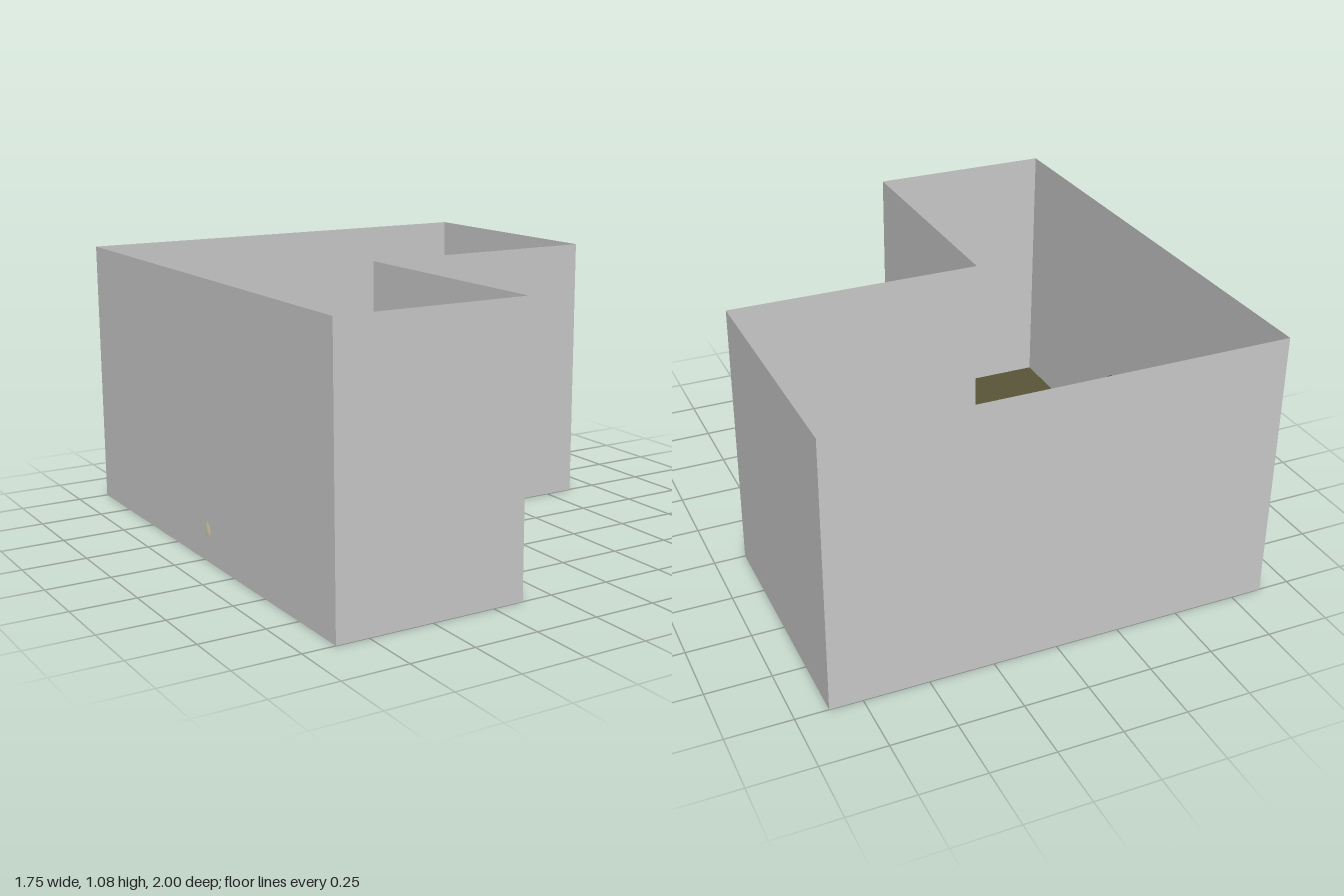
import * as THREE from 'three';

const mat = (color, flat = false, side = THREE.FrontSide) =>
  new THREE.MeshStandardMaterial({ color, flatShading: flat, side });

function add(parent, name, geometry, material, x = 0, y = 0, z = 0) {
  const mesh = new THREE.Mesh(geometry, material);
  mesh.name = name;
  mesh.position.set(x, y, z);
  parent.add(mesh);
  return mesh;
}

function group(parent, name, x = 0, y = 0, z = 0) {
  const g = new THREE.Group();
  g.name = name;
  g.position.set(x, y, z);
  parent.add(g);
  return g;
}

// L-shaped room: floor and thin open-topped walls
function buildRoom(parent) {
  const H = 1.08;
  const plan = [[-0.875, 1], [-0.125, 1], [-0.125, 0], [0.875, 0], [0.875, -1], [-0.875, -1]];
  const room = group(parent, 'room');

  const shape = new THREE.Shape(plan.map(([x, z]) => new THREE.Vector2(x, -z)));
  const floor = new THREE.ShapeGeometry(shape).rotateX(-Math.PI / 2);
  add(room, 'floor', floor, mat(0x5a5639, false, THREE.DoubleSide));

  const wallMat = mat(0xcccccc, false, THREE.DoubleSide);
  plan.forEach(([x0, z0], i) => {
    const [x1, z1] = plan[(i + 1) % plan.length];
    const wall = add(room, 'wall', new THREE.PlaneGeometry(Math.hypot(x1 - x0, z1 - z0), H),
      wallMat, (x0 + x1) / 2, H / 2, (z0 + z1) / 2);
    wall.rotation.y = -Math.atan2(z1 - z0, x1 - x0);
  });
}

// Square wooden table near the back wall
function buildTable(parent) {
  const table = group(parent, 'table', -0.41, 0, -0.72);
  const wood = mat(0x553a20);
  const S = 0.525, H = 0.28, T = 0.03, L = 0.04;
  add(table, 'tableTop', new THREE.BoxGeometry(S, T, S), wood, 0, H - T / 2, 0);
  const off = S / 2 - L;
  for (const sx of [-1, 1]) for (const sz of [-1, 1])
    add(table, 'tableLeg', new THREE.BoxGeometry(L, H - T, L), wood, sx * off, (H - T) / 2, sz * off);
}

// Pointed leaf lying along +z, slightly folded and drooping
function leafGeometry(length, width) {
  const g = new THREE.PlaneGeometry(1, 1, 4, 8).rotateX(-Math.PI / 2);
  const p = g.attributes.position;
  for (let i = 0; i < p.count; i++) {
    const u = p.getX(i) * 2, t = p.getZ(i) + 0.5;
    const half = (width / 2) * Math.pow(Math.sin(Math.PI * Math.pow(t, 0.8)), 0.8);
    p.setXYZ(i, u * (half || 0), Math.abs(u) * half * 0.3 - 0.3 * length * t * t, t * length);
  }
  g.computeVertexNormals();
  return g;
}

// Rounded pot with a small leafy plant
function buildPlant(parent) {
  const plant = group(parent, 'pottedPlant', -0.76, 0, 0.035);
  const profile = [[0, 0], [0.075, 0], [0.1, 0.04], [0.113, 0.08], [0.118, 0.12], [0.115, 0.16],
    [0.11, 0.2], [0.1, 0.2], [0.1, 0.165]].map(([r, y]) => new THREE.Vector2(r, y));
  add(plant, 'pot', new THREE.LatheGeometry(profile, 40), mat(0xe2d8b4, false, THREE.DoubleSide));
  add(plant, 'soil', new THREE.CircleGeometry(0.102, 32).rotateX(-Math.PI / 2), mat(0x33200f), 0, 0.17, 0);

  const stemMat = mat(0x4a2c16), leafMat = mat(0x17491a, false, THREE.DoubleSide);
  // leaf centre x, y, z, length, width
  const leaves = [
    [0.01, 0.36, -0.115, 0.07, 0.06],
    [-0.035, 0.42, -0.015, 0.12, 0.085],
    [0.035, 0.34, -0.03, 0.09, 0.065],
    [0.025, 0.38, 0.055, 0.1, 0.075],
    [-0.075, 0.32, 0.08, 0.065, 0.05],
  ];
  for (const [x, y, z, length, width] of leaves) {
    const a = Math.atan2(x, z);
    const bx = x - Math.sin(a) * length / 2, bz = z - Math.cos(a) * length / 2;
    const stem = new THREE.QuadraticBezierCurve3(
      new THREE.Vector3(x * 0.15, 0.165, z * 0.15),
      new THREE.Vector3(x * 0.2, y * 0.85, z * 0.2),
      new THREE.Vector3(bx, y, bz));
    add(plant, 'stem', new THREE.TubeGeometry(stem, 10, 0.005, 6), stemMat);
    add(plant, 'leaf', leafGeometry(length, width), leafMat, bx, y, bz).rotation.y = a;
  }
}

// Small toy car on the floor
function buildCar(parent) {
  const car = group(parent, 'toyCar', -0.625, 0, 0.523);
  const body = mat(0xb4b4b4), dark = mat(0x1c1c1c);
  add(car, 'carBody', new THREE.BoxGeometry(0.06, 0.022, 0.105), body, 0, 0.026, 0);
  const cab = new THREE.CylinderGeometry(0.026, 0.034, 0.02, 4, 1).rotateY(Math.PI / 4);
  add(car, 'cabin', cab, mat(0x4a4a4a, true), 0, 0.047, -0.024);
  add(car, 'cabinRoof', new THREE.BoxGeometry(0.034, 0.004, 0.034), body, 0, 0.058, -0.024);
  for (const sx of [-1, 1]) for (const sz of [-1, 1])
    add(car, 'wheel', new THREE.CylinderGeometry(0.018, 0.018, 0.016, 16).rotateZ(Math.PI / 2),
      dark, sx * 0.04, 0.018, sz * 0.033);
}

export function createModel() {
  const model = new THREE.Group();
  model.name = 'furnishedRoom';
  buildRoom(model);
  buildTable(model);
  buildPlant(model);
  buildCar(model);
  return model;
}
